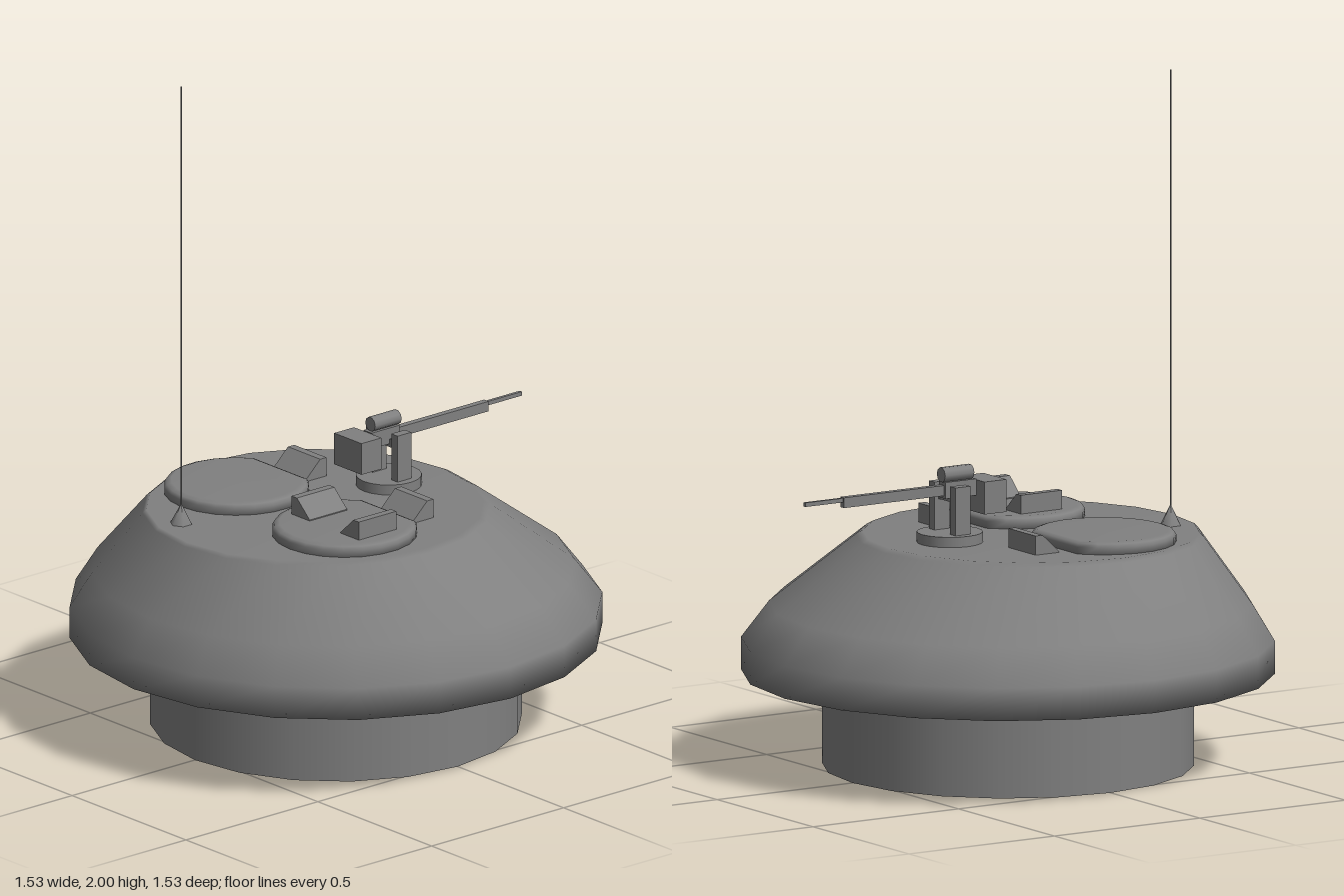
import * as THREE from 'three';

const steel = new THREE.MeshStandardMaterial({ color: 0x808080, side: THREE.DoubleSide });
steel.name = 'steel grey';

// Closed smooth skin over stacked rings, each a list of [x, y, z] running anticlockwise from above
function loft(rings) {
  const n = rings[0].length, pos = [], idx = [];
  rings.forEach(r => r.forEach(p => pos.push(...p)));
  for (let i = 0; i < rings.length - 1; i++) {
    for (let j = 0; j < n; j++) {
      const k = (j + 1) % n, a = i * n + j, b = i * n + k;
      idx.push(a, b, b + n, a, b + n, a + n);
    }
  }
  for (const top of [false, true]) {
    const ring = rings[top ? rings.length - 1 : 0], base = top ? (rings.length - 1) * n : 0;
    const c = pos.length / 3;
    for (let d = 0; d < 3; d++) pos.push(ring.reduce((s, p) => s + p[d], 0) / n);
    for (let j = 0; j < n; j++) {
      const a = base + j, b = base + (j + 1) % n;
      idx.push(c, ...(top ? [a, b] : [b, a]));
    }
  }
  const g = new THREE.BufferGeometry();
  g.setAttribute('position', new THREE.Float32BufferAttribute(pos, 3));
  g.setIndex(idx);
  g.computeVertexNormals();
  return g;
}

function circleRing(cx, y, r, n) {
  return Array.from({ length: n }, (_, i) => {
    const a = (i / n) * Math.PI * 2;
    return [cx + r * Math.cos(a), y, -r * Math.sin(a)];
  });
}

export function createModel() {
  const model = new THREE.Group();
  model.name = 'turret';

  function add(name, geometry, x = 0, y = 0, z = 0, parent = model) {
    const m = new THREE.Mesh(geometry, steel);
    m.name = name;
    m.position.set(x, y, z);
    parent.add(m);
    return m;
  }
  // Box given by its min and max on each axis
  function block(name, x0, x1, y0, y1, z0, z1, parent) {
    return add(name, new THREE.BoxGeometry(x1 - x0, y1 - y0, z1 - z0),
      (x0 + x1) / 2, (y0 + y1) / 2, (z0 + z1) / 2, parent);
  }

  // Open basket below the turret
  add('turretRing', new THREE.CylinderGeometry(0.535, 0.535, 0.27, 20, 1, true), 0, 0.135, 0);

  // Domed shell, its roof shifted towards -x
  add('turretShell', loft([
    [0, 0.27, 0.767], [0, 0.365, 0.767], [-0.01, 0.47, 0.695], [-0.075, 0.66, 0.5], [-0.08, 0.67, 0.485],
  ].map(([cx, y, r]) => circleRing(cx, y, r, 20))));

  // Round hatches with one straight side
  const half = Math.atan2(0.122, 0.17), steps = 18;
  const hatch = loft([[0.66, 1], [0.69, 1], [0.7, 0.97], [0.705, 0.9]].map(([y, s]) =>
    Array.from({ length: steps + 1 }, (_, i) => {
      const a = half + (i / steps) * (Math.PI * 2 - 2 * half);
      return [0.209 * s * Math.cos(a), y, -0.209 * s * Math.sin(a)];
    })));
  add('rearHatch', hatch, -0.17, 0, -0.24);
  add('frontHatch', hatch, -0.17, 0, 0.235);

  // Periscopes: wedges with a sloping face
  const profile = new THREE.Shape([[-0.04, 0], [0.04, 0], [0.04, 0.058], [0.016, 0.058], [-0.04, 0.006]]
    .map(p => new THREE.Vector2(...p)));
  const wedge = new THREE.ExtrudeGeometry(profile, { depth: 0.142, bevelEnabled: false });
  wedge.translate(0, 0, -0.071);
  add('rearPeriscope', wedge, 0.07, 0.668, -0.24);
  add('frontPeriscope', wedge, 0.07, 0.668, 0.23);
  add('hatchPeriscopeInner', wedge, -0.172, 0.702, 0.126).rotation.y = Math.PI / 2;
  add('hatchPeriscopeOuter', wedge, -0.172, 0.702, 0.342).rotation.y = -Math.PI / 2;

  // Machine gun on a round pedestal
  const gun = new THREE.Group();
  gun.name = 'machineGun';
  model.add(gun);
  add('pedestal', new THREE.CylinderGeometry(0.095, 0.095, 0.04, 20), 0.2, 0.68, 0, gun);
  for (const s of [-1, 1]) {
    const z = s * 0.055;
    block('mountPost', 0.174, 0.226, 0.7, 0.84, z - 0.014, z + 0.014, gun);
  }
  block('trunnion', 0.188, 0.212, 0.79, 0.815, -0.045, 0.045, gun);
  block('receiver', 0.12, 0.226, 0.8, 0.848, -0.018, 0.018, gun);
  block('ammoBox', 0.045, 0.12, 0.75, 0.845, -0.06, 0.06, gun);
  block('barrelJacket', 0.226, 0.57, 0.808, 0.838, -0.01, 0.01, gun);
  block('barrel', 0.57, 0.7, 0.824, 0.836, -0.005, 0.005, gun);
  const sight = new THREE.CylinderGeometry(0.022, 0.022, 0.1, 10);
  sight.rotateZ(Math.PI / 2);
  add('sight', sight, 0.18, 0.868, 0, gun);

  // Whip antenna on a six-sided cone
  const cone = new THREE.ConeGeometry(0.033, 0.062, 6);
  cone.rotateY(Math.PI / 6);
  add('antennaBase', cone, -0.47, 0.7, -0.135);
  add('antennaRod', new THREE.CylinderGeometry(0.002, 0.002, 1.3, 6), -0.47, 1.35, -0.135);

  return model;
}
